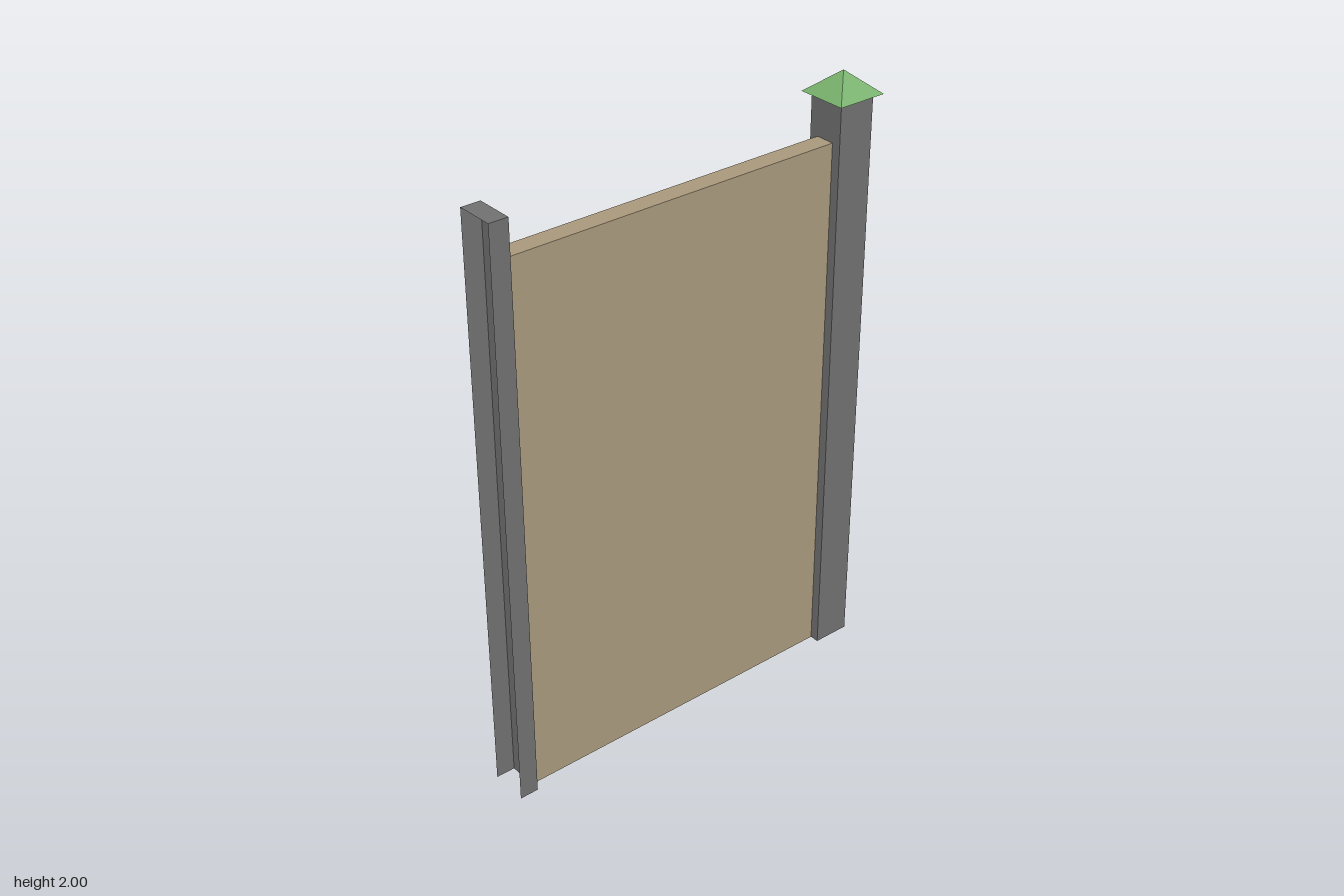
import * as THREE from 'three';

// Face order used by BoxGeometry
const FACES = ['+x', '-x', '+y', '-y', '+z', '-z'];

// Thin-walled box standing on the ground, with the listed faces left open
function shell(name, x0, x1, height, depth, open, material) {
  const geometry = new THREE.BoxGeometry(x1 - x0, height, depth);
  const index = Array.from(geometry.index.array);
  geometry.setIndex(index.filter((_, i) => !open.includes(FACES[Math.floor(i / 6)])));
  geometry.clearGroups();
  geometry.translate((x0 + x1) / 2, height / 2, 0);
  const mesh = new THREE.Mesh(geometry, material);
  mesh.name = name;
  return mesh;
}

function paint(name, color) {
  const material = new THREE.MeshStandardMaterial({ color, side: THREE.DoubleSide });
  material.name = name;
  return material;
}

export function createModel() {
  const model = new THREE.Group();
  model.name = 'fencePanel';

  const grey = paint('postGrey', 0x707070);
  const tan = paint('panelTan', 0xa8987c);
  const green = paint('capGreen', 0x78b06c);

  const postTop = 1.93;

  // Half post: a channel open on its outer side and underneath
  model.add(shell('halfPost', -0.683, -0.62, postTop, 0.125, ['-x', '-y'], grey));

  // Panel between the posts, its ends hidden against them
  model.add(shell('panel', -0.62, 0.537, 1.8, 0.064, ['+x', '-x', '-y'], tan));

  // Full post, hollow below and closed by the cap above
  model.add(shell('fullPost', 0.537, 0.662, postTop, 0.125, ['+y', '-y'], grey));

  // Pyramid cap
  const half = 0.084, rise = 2 - postTop;
  const capGeometry = new THREE.ConeGeometry(half * Math.SQRT2, rise, 4).toNonIndexed();
  capGeometry.rotateY(Math.PI / 4);
  capGeometry.computeVertexNormals();
  const cap = new THREE.Mesh(capGeometry, green);
  cap.name = 'postCap';
  cap.position.set(0.5995, postTop + rise / 2, 0);
  model.add(cap);

  return model;
}
